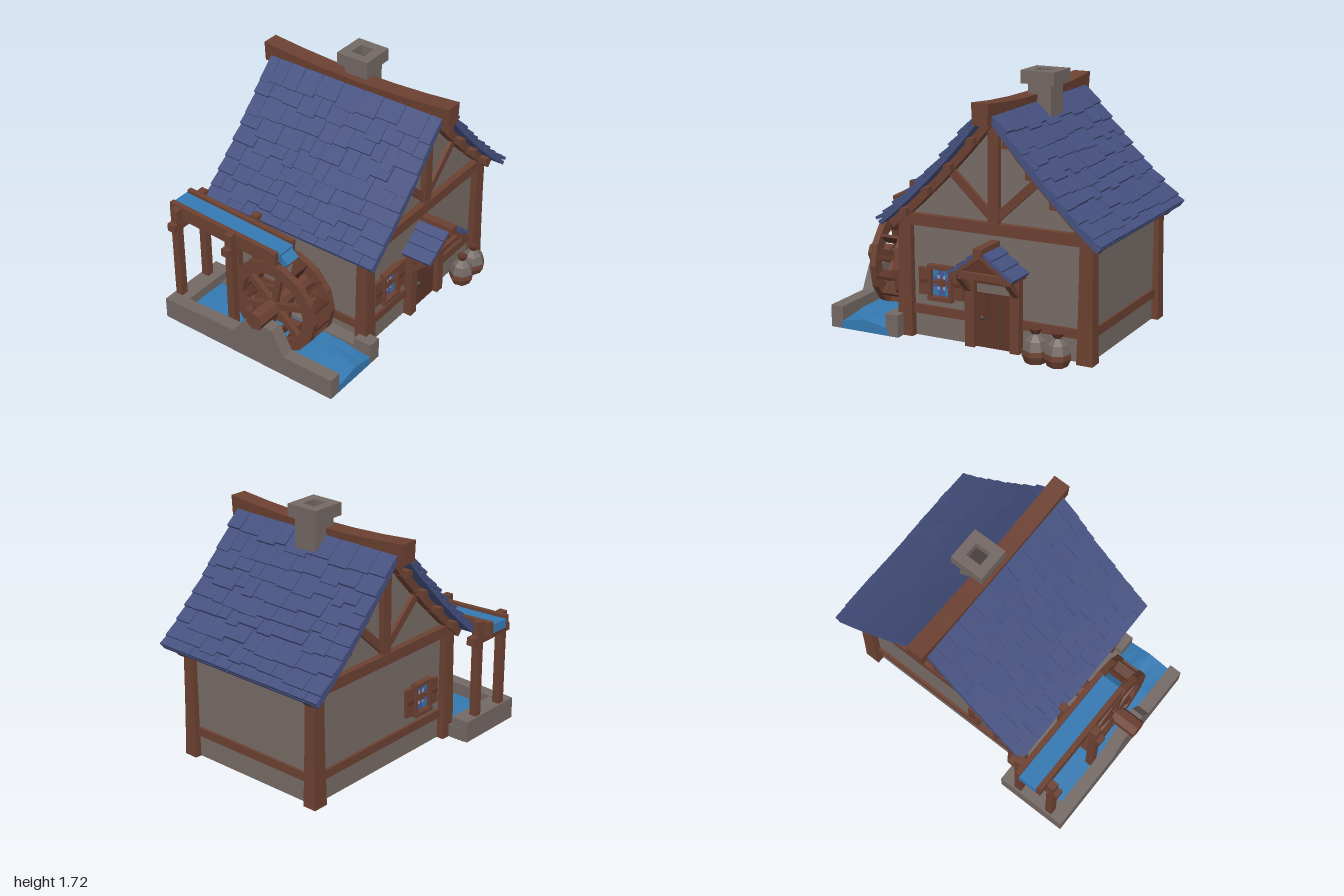
import * as THREE from 'three';
import { mergeGeometries } from 'three/addons/utils/BufferGeometryUtils.js';

export function createModel() {
  const model = new THREE.Group();
  model.name = 'watermill';
  const paint = (name, color) => {
    const m = new THREE.MeshStandardMaterial({ color });
    m.name = name;
    return m;
  };
  const wood = paint('wood', 0x6c4132), darkWood = paint('dark wood', 0x5c3427);
  const plaster = paint('plaster', 0x776b66), stone = paint('stone', 0x736864);
  const slate = paint('blue slate', 0x465180), water = paint('water', 0x3479b2);
  const glass = paint('window glass', 0x46599a), hole = paint('soot', 0x453d3b);
  const pale = paint('pale pane', 0x9a9bb0);

  let seed = 7;
  const rnd = () => (seed = (seed * 16807) % 2147483647) / 2147483647;
  const V = (x, y, z) => new THREE.Vector3(x, y, z);

  // Every geometry is made faceted
  const add = (name, geo, mat, parent = model) => {
    const g = geo.index ? geo.toNonIndexed() : geo;
    g.computeVertexNormals();
    const mesh = new THREE.Mesh(g, mat);
    mesh.name = name;
    parent.add(mesh);
    return mesh;
  };
  // Box given by its limits
  const box = (name, mat, x0, x1, y0, y1, z0, z1, parent) =>
    add(name, new THREE.BoxGeometry(x1 - x0, y1 - y0, z1 - z0)
      .translate((x0 + x1) / 2, (y0 + y1) / 2, (z0 + z1) / 2), mat, parent);
  // Bar from a to b: w across, h thick
  const bar = (a, b, w, h) => {
    const o = new THREE.Object3D();
    o.position.copy(a).add(b).multiplyScalar(0.5);
    o.lookAt(b);
    o.updateMatrix();
    return new THREE.BoxGeometry(w, h, a.distanceTo(b)).applyMatrix4(o.matrix);
  };
  const group = (name, parent = model) => {
    const g = new THREE.Group();
    g.name = name;
    parent.add(g);
    return g;
  };

  const house = group('house');
  house.position.x = 0.21;
  // Sagging roof line, from ridge (t = 0) to eave (t = 1), lowered by drop
  const roofAt = (t, s, z, drop = 0) =>
    V(s * (0.05 + 0.73 * t - drop * 0.7), 1.53 - 0.745 * t - 0.14 * t * (1 - t) - drop * 0.7, z);

  // Plaster walls with both gables
  const outline = [[-0.65, 0], [0.65, 0], [0.65, 0.83]];
  for (const t of [0.6, 0.4, 0.2, 0.03]) { const p = roofAt(t, 1, 0, 0.05); outline.push([p.x, p.y]); }
  for (const t of [0.03, 0.2, 0.4, 0.6]) { const p = roofAt(t, -1, 0, 0.05); outline.push([p.x, p.y]); }
  outline.push([-0.65, 0.83]);
  const wallShape = new THREE.Shape(outline.map(p => new THREE.Vector2(...p)));
  add('walls', new THREE.ExtrudeGeometry(wallShape, { depth: 1.05, bevelEnabled: false })
    .translate(0, 0, -0.525), plaster, house);

  // Timber frame
  for (const s of [-1, 1]) {
    for (const e of [-1, 1]) {
      const post = new THREE.BoxGeometry(0.09, 0.83, 0.08, 1, 3, 1);
      const p = post.attributes.position;
      for (let i = 0; i < p.count; i++) {
        const k = 1 + 0.22 * Math.pow(0.5 - p.getY(i) / 0.83, 2);
        p.setX(i, p.getX(i) * k);
        p.setZ(i, p.getZ(i) * k);
      }
      add('cornerPost', post.translate(s * 0.642, 0.415, e * 0.53), wood, house);
    }
    box('sideSill', wood, s * 0.655 - 0.012, s * 0.655 + 0.012, 0.155, 0.215, -0.5, 0.5, house);
    box('sidePlate', wood, s * 0.655 - 0.02, s * 0.655 + 0.02, 0.75, 0.82, -0.54, 0.54, house);
  }
  for (const e of [-1, 1]) {
    box('tieBeam', wood, -0.66, 0.66, 0.75, 0.825, e * 0.535 - 0.035, e * 0.535 + 0.035, house);
    box('kingPost', wood, -0.036, 0.036, 0.82, 1.5, e * 0.535 - 0.03, e * 0.535 + 0.03, house);
    for (const s of [-1, 1]) {
      add('brace', bar(V(s * 0.02, 0.86, e * 0.53), V(s * 0.3, 1.12, e * 0.53), 0.045, 0.055), wood, house);
      for (let i = 0; i < 4; i++)
        add('rafter', bar(roofAt(i / 4, s, e * 0.55, 0.065), roofAt((i + 1.04) / 4 - 0.01, s, e * 0.55, 0.065), 0.07, 0.055), wood, house);
      const sill = e > 0 ? (s < 0 ? [-0.62, -0.18] : [0.2, 0.62]) : (s < 0 ? [-0.62, 0] : [0, 0.62]);
      box('gableSill', wood, sill[0], sill[1], 0.155, 0.215, e * 0.53 - 0.015, e * 0.53 + 0.015, house);
    }
  }

  // Roof: decking, purlins and overlapping slates
  const rows = 9;
  for (const [s, side] of [[-1, 'right'], [1, 'left']]) {
    const deck = [], tiles = [];
    for (let r = 0; r < rows; r++) {
      const t0 = r / rows, t1 = (r + 1) / rows;
      deck.push(bar(roofAt(t0 - 0.005, s, 0, 0.025), roofAt(t1 + 0.005, s, 0, 0.025), 1.35, 0.025));
      let z = -0.68;
      while (z < 0.679) {
        let w = 0.08 + rnd() * 0.11;
        if (0.68 - z - w < 0.07) w = 0.68 - z;
        const end = r === rows - 1 ? 1 : t1 + 0.01 + rnd() * 0.05;
        const lift = 0.007 + rnd() * 0.01;
        tiles.push(bar(roofAt(t0 - 0.02, s, z + w / 2, 0.014), roofAt(end, s, z + w / 2, -lift), w - 0.004, 0.02));
        z += w;
      }
      if (r % 2 === 1) {
        const p = roofAt(t0 + 0.05, s, 0, 0.06);
        box('purlin', wood, p.x - 0.025, p.x + 0.025, p.y - 0.025, p.y + 0.02, -0.64, 0.64, house);
      }
    }
    add(side + 'RoofDeck', mergeGeometries(deck), slate, house);
    add(side + 'RoofSlates', mergeGeometries(tiles), slate, house);
  }

  // Swaybacked ridge beam
  const ridge = new THREE.BoxGeometry(0.12, 0.1, 1.46, 1, 1, 6);
  const rp = ridge.attributes.position;
  for (let i = 0; i < rp.count; i++) {
    const k = (rp.getZ(i) / 0.73) ** 2, up = rp.getY(i) > 0;
    rp.setY(i, up ? 1.57 + 0.04 * k : 1.49 - 0.02 * k);
    if (!up) rp.setX(i, rp.getX(i) * 0.85);
  }
  add('ridgeBeam', ridge, wood, house);

  // Chimney with a hollow cap
  box('chimneyStack', stone, 0.2, 0.366, 1.25, 1.645, -0.105, 0.07);
  const cap = new THREE.Shape([[-0.12, -0.118], [0.12, -0.118], [0.12, 0.118], [-0.12, 0.118]].map(p => new THREE.Vector2(...p)));
  cap.holes.push(new THREE.Path([[-0.055, -0.05], [-0.055, 0.05], [0.055, 0.05], [0.055, -0.05]].map(p => new THREE.Vector2(...p))));
  add('chimneyCap', new THREE.ExtrudeGeometry(cap, { depth: 0.085, bevelEnabled: false })
    .rotateX(-Math.PI / 2).translate(0.28, 1.637, -0.02), stone);
  box('flue', hole, 0.225, 0.335, 1.644, 1.65, -0.07, 0.03);

  // Windows, front and back
  for (const e of [1, -1]) {
    const win = group(e > 0 ? 'frontWindow' : 'backWindow');
    win.position.set(-0.18, 0.38, e * 0.525);
    const part = (n, m, x0, x1, y0, y1, d) => box(n, m, x0, x1, y0, y1, e > 0 ? 0 : -d, e > 0 ? d : 0, win);
    part('glass', glass, -0.07, 0.07, -0.1, 0.1, 0.009);
    for (const s of [-1, 1]) {
      part('jamb', wood, s * 0.076 - 0.012, s * 0.076 + 0.012, -0.11, 0.11, 0.04);
      part('rail', wood, -0.088, 0.088, s * 0.105 - 0.014, s * 0.105 + 0.014, 0.045);
      const h = s > 0 ? 0.1 : 0.09;
      part('shutter', wood, s * 0.125 - 0.037, s * 0.125 + 0.037, -h, h, 0.025);
      part('shutterBatten', darkWood, s * 0.125 - 0.03, s * 0.125 + 0.03, -0.012, 0.012, 0.032);
      for (const u of [-1, 1]) {
        part('cornerPane', water, s * 0.044 - 0.02, s * 0.044 + 0.02, u * 0.062 - 0.025, u * 0.062 + 0.025, 0.012);
        part('palePane', pale, s * 0.02 - 0.008, s * 0.02 + 0.008, u * 0.035 - 0.012, u * 0.035 + 0.012, 0.014);
      }
    }
    part('crossBar', wood, -0.07, 0.07, -0.01, 0.01, 0.016);
    part('crossBoss', wood, -0.025, 0.025, -0.025, 0.025, 0.018);
  }

  // Door and its little porch roof
  const porch = group('porch');
  porch.position.x = 0.21;
  box('door', darkWood, -0.125, 0.14, 0, 0.52, 0.52, 0.55, porch);
  for (const x of [-0.04, 0.05]) box('doorSeam', hole, x - 0.003, x + 0.003, 0.01, 0.36, 0.549, 0.553, porch);
  box('doorLight', stone, -0.12, 0.135, 0.365, 0.42, 0.549, 0.556, porch);
  add('doorKnob', new THREE.IcosahedronGeometry(0.018, 0).translate(-0.08, 0.2, 0.565), hole, porch);
  const infill = new THREE.Shape([[-0.19, 0.5], [0.19, 0.5], [0, 0.65]].map(p => new THREE.Vector2(...p)));
  add('porchGable', new THREE.ExtrudeGeometry(infill, { depth: 0.17, bevelEnabled: false }).translate(0, 0, 0.52), darkWood, porch);
  box('porchRidge', wood, -0.03, 0.03, 0.655, 0.71, 0.52, 0.775, porch);
  box('porchTie', wood, -0.2, 0.2, 0.495, 0.535, 0.66, 0.72, porch);
  for (const s of [-1, 1]) {
    box('doorPost', wood, s * 0.16 - 0.033, s * 0.16 + 0.033, 0, 0.52, 0.51, 0.585, porch);
    box('porchPlate', wood, s * 0.19 - 0.025, s * 0.19 + 0.025, 0.49, 0.53, 0.52, 0.74, porch);
    add('porchBracket', bar(V(s * 0.17, 0.38, 0.57), V(s * 0.17, 0.5, 0.7), 0.04, 0.035), wood, porch);
    add('porchRafter', bar(V(0, 0.66, 0.72), V(s * 0.22, 0.505, 0.72), 0.05, 0.035), wood, porch);
    for (let i = 0; i < 3; i++)
      add('porchSlates', bar(V(s * 0.073 * i, 0.68 - 0.055 * i, 0.635), V(s * (0.073 * i + 0.086), 0.632 - 0.055 * i, 0.635), 0.235 - i * 0.006, 0.022), slate, porch);
  }

  // Stone channel with a raised axle support
  const channel = group('channel');
  const side = [[-0.73, 0], [0.65, 0], [0.65, 0.15], [0.27, 0.15], [0.18, 0.32], [-0.03, 0.32], [-0.14, 0.17], [-0.73, 0.15]];
  add('outerWall', new THREE.ExtrudeGeometry(new THREE.Shape(side.map(p => new THREE.Vector2(-p[0], p[1]))),
    { depth: 0.09, bevelEnabled: false }).rotateY(Math.PI / 2).translate(-0.96, 0, 0), stone, channel);
  box('innerWall', stone, -0.535, -0.44, 0, 0.09, -0.7, 0.55, channel);
  box('innerWallEnd', stone, -0.54, -0.445, 0, 0.15, 0.52, 0.65, channel);
  box('backWall', stone, -0.955, -0.445, 0, 0.15, -0.73, -0.6, channel);
  const pool = new THREE.BoxGeometry(0.36, 0.09, 1.25, 4, 1, 5).translate(-0.7, 0.045, 0.025);
  const wp = pool.attributes.position;
  for (let i = 0; i < wp.count; i++)
    if (wp.getY(i) > 0.05) wp.setY(i, 0.085 - 0.2 * Math.abs(wp.getX(i) + 0.7) * (wp.getZ(i) > 0.5 ? 1 : 0.2));
  add('poolWater', pool, water, channel);

  // Water wheel, turning about x
  const wheel = group('waterWheel');
  wheel.position.set(-0.7, 0.37, 0.07);
  const sides = 14;
  for (const s of [-1, 1]) {
    const ring = new THREE.Shape(), inner = new THREE.Path();
    for (let i = 0; i < sides; i++) {
      const a = i / sides * Math.PI * 2, c = Math.cos(a), n = Math.sin(a);
      ring[i ? 'lineTo' : 'moveTo'](0.335 * c, 0.335 * n);
      inner[i ? 'lineTo' : 'moveTo'](0.25 * c, 0.25 * n);
    }
    ring.holes.push(inner);
    add('rim', new THREE.ExtrudeGeometry(ring, { depth: 0.045, bevelEnabled: false })
      .rotateY(Math.PI / 2).translate(s * 0.09 - 0.0225, 0, 0), wood, wheel);
    for (let i = 0; i < 3; i++)
      add('spoke', new THREE.BoxGeometry(0.035, 0.54, 0.045).rotateX(i * Math.PI / 3 + 0.2).translate(s * 0.09, 0, 0), wood, wheel);
  }
  for (let i = 0; i < sides; i++)
    add('paddle', new THREE.BoxGeometry(0.15, 0.095, 0.022).translate(0, 0.28, 0)
      .rotateX(i / sides * Math.PI * 2), darkWood, wheel);
  const tube = (n, r, x0, x1, mat) => add(n, new THREE.CylinderGeometry(r, r, x1 - x0, 7)
    .rotateZ(Math.PI / 2).translate((x0 + x1) / 2, 0, 0), mat, wheel);
  tube('axle', 0.05, -0.2, 0.26, wood);
  tube('axleEnd', 0.066, -0.3, -0.13, wood);
  tube('axleCollar', 0.066, 0.13, 0.23, wood);

  // Sloping flume on trestles
  const flume = group('flume');
  for (const x of [-0.79, -0.62])
    add('flumeSide', bar(V(x, 0.785, -0.775), V(x, 0.745, 0.1), 0.035, 0.1), wood, flume);
  add('flumeFloor', bar(V(-0.705, 0.745, -0.775), V(-0.705, 0.705, 0.09), 0.15, 0.02), darkWood, flume);
  add('flumeWater', bar(V(-0.705, 0.785, -0.78), V(-0.705, 0.745, 0.11), 0.136, 0.06), water, flume);
  add('spill', bar(V(-0.705, 0.745, 0.09), V(-0.705, 0.695, 0.15), 0.11, 0.05), water, flume);
  for (const z of [-0.69, -0.235]) {
    box('crossBeam', wood, -0.9, z < -0.5 ? -0.5 : -0.56, 0.68, 0.735, z - 0.03, z + 0.03, flume);
    box('outerTrestlePost', wood, -0.867, -0.815, 0.05, 0.83, z - 0.027, z + 0.027, flume);
    box('innerTrestlePost', wood, -0.605, -0.553, 0.05, 0.835, z - 0.027, z + 0.027, flume);
  }

  // Grain sacks by the wall
  for (const [x, z, h] of [[0.55, 0.645, 1], [0.7, 0.64, 0.97]]) {
    const sack = group('sack');
    sack.position.set(x, 0, z);
    sack.scale.set(1, h, 1);
    const lathe = (n, pts, mat) => add(n, new THREE.LatheGeometry(pts.map(p => new THREE.Vector2(...p)), 7), mat, sack);
    lathe('sackBase', [[0, 0], [0.065, 0], [0.087, 0.05], [0.083, 0.085]], wood);
    lathe('sackBody', [[0.083, 0.085], [0.066, 0.145], [0.024, 0.185]], stone);
    lathe('sackNeck', [[0.024, 0.185], [0.038, 0.215], [0, 0.205]], darkWood);
  }
  return model;
}
